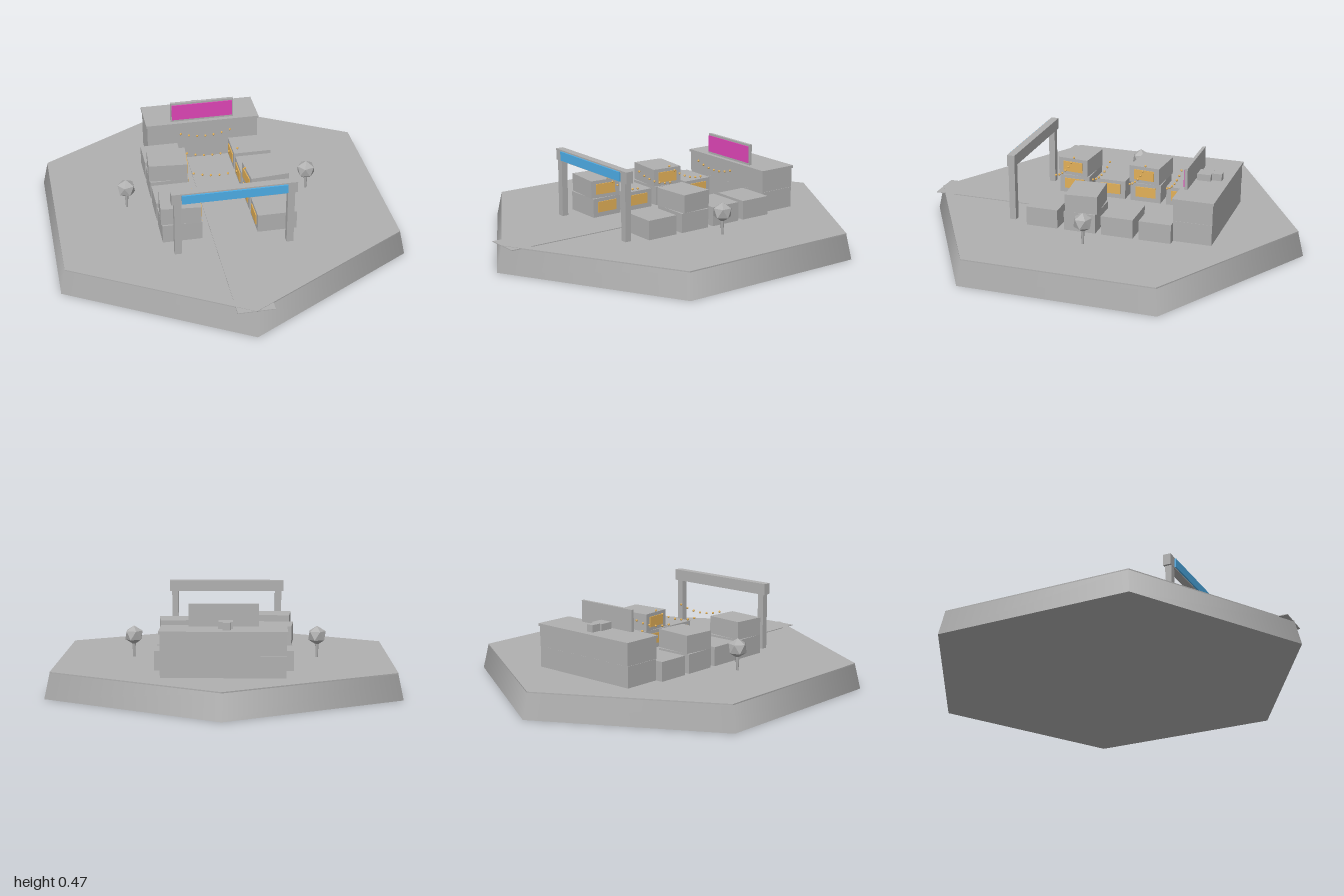
import * as THREE from 'three';

const mat = (name, color) => {
  const m = new THREE.MeshStandardMaterial({ color });
  m.name = name;
  return m;
};

export function createModel() {
  const model = new THREE.Group();
  const grey = mat('grey', 0xb0b0b0);
  const blue = mat('signBlue', 0x4eaee8);
  const pink = mat('signPink', 0xe046b8);
  const amber = mat('windowAmber', 0xe2b058);
  const flatGrey = grey;

  const add = (parent, name, geo, material, x = 0, y = 0, z = 0) => {
    const mesh = new THREE.Mesh(geo, material);
    mesh.name = name;
    mesh.position.set(x, y, z);
    parent.add(mesh);
    return mesh;
  };
  // Box given by its centre in x and z and its bottom in y
  const box = (parent, name, w, h, d, x, y, z, material = grey) =>
    add(parent, name, new THREE.BoxGeometry(w, h, d), material, x, y + h / 2, z);

  const GROUND = 0.125;

  // Hexagonal base with sloping sides
  add(model, 'base', new THREE.CylinderGeometry(0.97, 1, GROUND, 6), grey, 0, GROUND / 2, 0);

  // Raised kerb around the edge
  const hexagon = (r, target) => {
    const points = [];
    for (let i = 0; i < 6; i++) {
      const a = (i * Math.PI) / 3;
      points.push(new THREE.Vector2(r * Math.sin(a), r * Math.cos(a)));
    }
    return target.setFromPoints(points);
  };
  const kerbShape = hexagon(0.97, new THREE.Shape());
  kerbShape.holes.push(hexagon(0.92, new THREE.Path()));
  const kerbGeo = new THREE.ExtrudeGeometry(kerbShape, { depth: 0.006, bevelEnabled: false });
  kerbGeo.rotateX(-Math.PI / 2);
  add(model, 'kerb', kerbGeo, grey, 0, GROUND, 0);

  // Footpath from the back building to the front corner
  box(model, 'footpath', 0.18, 0.004, 1.366, 0, GROUND, 0.283);

  // Stall units with a lit window towards the aisle
  const stall = (side, z, y, h, turn = 0) => {
    const unit = new THREE.Group();
    unit.name = 'stall';
    unit.position.set(side * 0.24, y, z);
    unit.rotation.y = turn;
    box(unit, 'stallBody', 0.2, h, 0.165, 0, 0, 0);
    box(unit, 'stallWindow', 0.006, 0.055, 0.11, -side * 0.102, h - 0.073, 0, amber);
    model.add(unit);
  };
  const rows = [-0.325, -0.13, 0.065, 0.265];
  for (const z of rows) for (const side of [-1, 1]) stall(side, z, GROUND, 0.098);
  stall(-1, -0.13, 0.225, 0.092, -0.085);
  stall(-1, 0.265, 0.225, 0.092, -0.085);
  stall(1, 0.065, 0.225, 0.092, 0.085);

  // Sagging strings of small lights across the aisle
  const bulbGeo = new THREE.SphereGeometry(0.006, 8, 6);
  for (const z of rows) {
    for (let i = -3; i <= 3; i++) {
      const t = i / 3;
      add(model, 'lightBulb', bulbGeo, amber, t * 0.133, 0.303 + 0.024 * t * t, z);
    }
  }

  // Two-storey building at the back
  const building = new THREE.Group();
  building.name = 'building';
  model.add(building);
  box(building, 'lowerStorey', 0.6, 0.106, 0.195, 0, GROUND, -0.505);
  box(building, 'upperStorey', 0.6, 0.103, 0.199, 0, 0.232, -0.505);
  box(building, 'roof', 0.612, 0.013, 0.21, 0, 0.335, -0.505);
  box(building, 'roofSignBoard', 0.34, 0.11, 0.016, 0, 0.348, -0.432);
  box(building, 'roofSignFace', 0.328, 0.088, 0.006, 0, 0.36, -0.422, pink);
  box(building, 'roofUnit', 0.07, 0.034, 0.07, -0.01, 0.348, -0.485);
  box(building, 'roofDuct', 0.038, 0.036, 0.052, -0.016, 0.348, -0.545);

  // Entrance gate
  const gate = new THREE.Group();
  gate.name = 'gate';
  model.add(gate);
  for (const side of [-1, 1]) box(gate, 'gatePost', 0.035, 0.292, 0.033, side * 0.28, GROUND, 0.44);
  box(gate, 'gateBeam', 0.62, 0.058, 0.04, 0, 0.416, 0.438);
  box(gate, 'gateSignFace', 0.52, 0.046, 0.008, 0, 0.421, 0.462, blue);

  // Faceted trees on thin trunks
  const crownGeo = new THREE.IcosahedronGeometry(0.05, 0);
  crownGeo.rotateZ(0.5536);
  for (const side of [-1, 1]) {
    const tree = new THREE.Group();
    tree.name = 'tree';
    tree.position.set(side * 0.472, GROUND, 0);
    add(tree, 'trunk', new THREE.CylinderGeometry(0.011, 0.006, 0.09, 6), flatGrey, 0, 0.045, 0);
    add(tree, 'crown', crownGeo, flatGrey, 0, 0.113, 0);
    model.add(tree);
  }

  return model;
}
